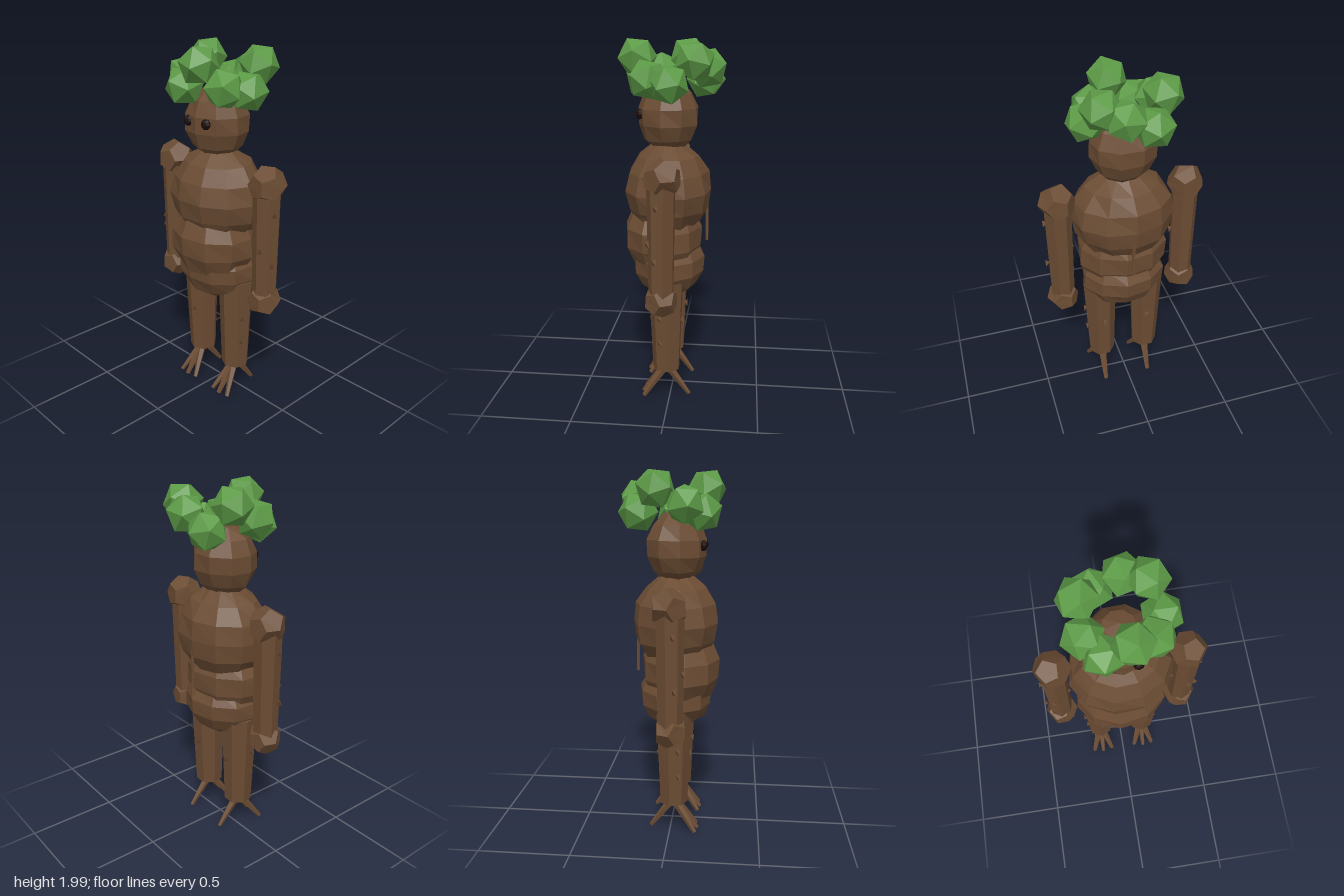
import * as THREE from 'three';

const bark = new THREE.MeshStandardMaterial({ color: 0x6b4c33 });
bark.name = 'bark brown';
const leaf = new THREE.MeshStandardMaterial({ color: 0x5c9a46 });
leaf.name = 'leaf green';
const dark = new THREE.MeshStandardMaterial({ color: 0x1c0c0a });
dark.name = 'eye black';

// Split faces so that every facet is flat
function faceted(geo) {
  const g = geo.index ? geo.toNonIndexed() : geo;
  g.computeVertexNormals();
  return g;
}

// Shift vertices by a rule of their position, so shared corners stay joined
function gnarl(geo, amount) {
  const p = geo.attributes.position;
  const v = new THREE.Vector3();
  for (let i = 0; i < p.count; i++) {
    v.fromBufferAttribute(p, i);
    const k = 1 + amount * Math.sin(v.x * 17 + v.y * 23 + v.z * 31);
    p.setXYZ(i, v.x * k, v.y * k, v.z * k);
  }
  return geo;
}

function add(parent, name, geo, mat, x = 0, y = 0, z = 0) {
  const m = new THREE.Mesh(faceted(geo), mat);
  m.name = name;
  m.position.set(x, y, z);
  parent.add(m);
  return m;
}

// Lumpy ellipsoid of wood
function lump(parent, name, [x, y, z], [rx, ry, rz], sides, rings) {
  const g = new THREE.SphereGeometry(1, sides, rings).rotateY(0.2).scale(rx, ry, rz);
  return add(parent, name, gnarl(g, 0.02), bark, x, y, z);
}

// Tapered branch between two points
function branch(parent, name, a, b, ra, rb, sides) {
  const A = new THREE.Vector3(...a), B = new THREE.Vector3(...b);
  const d = B.clone().sub(A);
  const g = new THREE.CylinderGeometry(rb, ra, d.length(), sides);
  const m = add(parent, name, g, bark);
  m.position.copy(A).add(B).multiplyScalar(0.5);
  m.quaternion.setFromUnitVectors(new THREE.Vector3(0, 1, 0), d.normalize());
  return m;
}

export function createModel() {
  const model = new THREE.Group();
  model.name = 'treeCreature';

  // Trunk and head
  lump(model, 'pelvis', [0, 0.77, 0.02], [0.245, 0.19, 0.205], 10, 7);
  lump(model, 'belly', [-0.005, 0.93, 0.05], [0.262, 0.24, 0.22], 10, 7);
  lump(model, 'chest', [0, 1.19, 0.022], [0.288, 0.268, 0.238], 11, 8);
  lump(model, 'head', [-0.005, 1.59, 0.023], [0.183, 0.198, 0.168], 9, 7);

  // Eyes
  for (const x of [-0.07, 0.065]) {
    const eye = add(model, 'eye', new THREE.SphereGeometry(0.028, 8, 6), dark, x, 1.605, 0.17);
    eye.scale.z = 0.8;
  }

  for (const s of [-1, 1]) {
    const side = s > 0 ? 'left' : 'right';

    // Arm with round shoulder and hand
    const arm = new THREE.Group();
    arm.name = side + 'Arm';
    model.add(arm);
    const joint = (name, y, r, z) => {
      const g = gnarl(new THREE.DodecahedronGeometry(r).rotateY(0.4 * s), 0.03);
      add(arm, name, g, bark, s * 0.358, y, z);
    };
    joint('shoulder', 1.32, 0.102, 0.015);
    joint('hand', 0.67, 0.092, 0.022);
    branch(arm, 'forearm', [s * 0.358, 0.68, 0.022], [s * 0.36, 1.3, 0.02], 0.067, 0.076, 7);

    // Leg
    const leg = new THREE.Group();
    leg.name = side + 'Leg';
    model.add(leg);
    branch(leg, 'thigh', [s * 0.137, 0.175, 0.02], [s * 0.143, 0.72, 0.02], 0.078, 0.1, 7);

    // Root toes: three forward, one back
    for (const [dx, z] of [[-0.06, 0.145], [0, 0.155], [0.06, 0.145], [0.01, -0.11]]) {
      branch(leg, 'rootToe', [s * 0.137, 0.19, 0.02], [s * 0.137 + dx, 0.014, z], 0.026, 0.012, 5);
    }

    // Bark knots on arm and leg: x, y, z
    for (const [x, y, z] of [[0.43, 1.18, 0.04], [0.43, 0.9, 0.05], [0.29, 1.0, 0.03], [0.38, 0.98, 0.09],
      [0.222, 0.5, 0.05], [0.212, 0.35, 0.05], [0.12, 0.46, 0.105], [0.13, 0.46, -0.065]]) {
      const knot = add(model, 'barkKnot', new THREE.TetrahedronGeometry(0.018), bark, s * x, y, z);
      knot.scale.y = 1.5;
    }
  }

  // Twig hanging on the back
  branch(model, 'backTwig', [0, 0.9, -0.193], [0, 1.19, -0.193], 0.009, 0.009, 5);

  // Crown of leaf clusters around the head
  const crown = new THREE.Group();
  crown.name = 'leafCrown';
  model.add(crown);
  const clusters = [
    [-0.105, 1.78, -0.17], [0.04, 1.845, -0.188], [0.148, 1.885, -0.128],
    [0.195, 1.77, 0], [0.142, 1.79, 0.117], [0.032, 1.9, 0.183],
    [-0.1, 1.78, 0.165], [-0.18, 1.82, 0.08], [-0.18, 1.9, -0.07],
  ];
  clusters.forEach(([x, y, z], i) => {
    const c = add(crown, 'leafCluster', new THREE.IcosahedronGeometry(0.108), leaf, x, y, z);
    c.rotation.set(0.55 + 0.08 * Math.sin(i * 2), i * 0.7, 0.1 * Math.cos(i * 3), 'YXZ');
  });

  return model;
}
